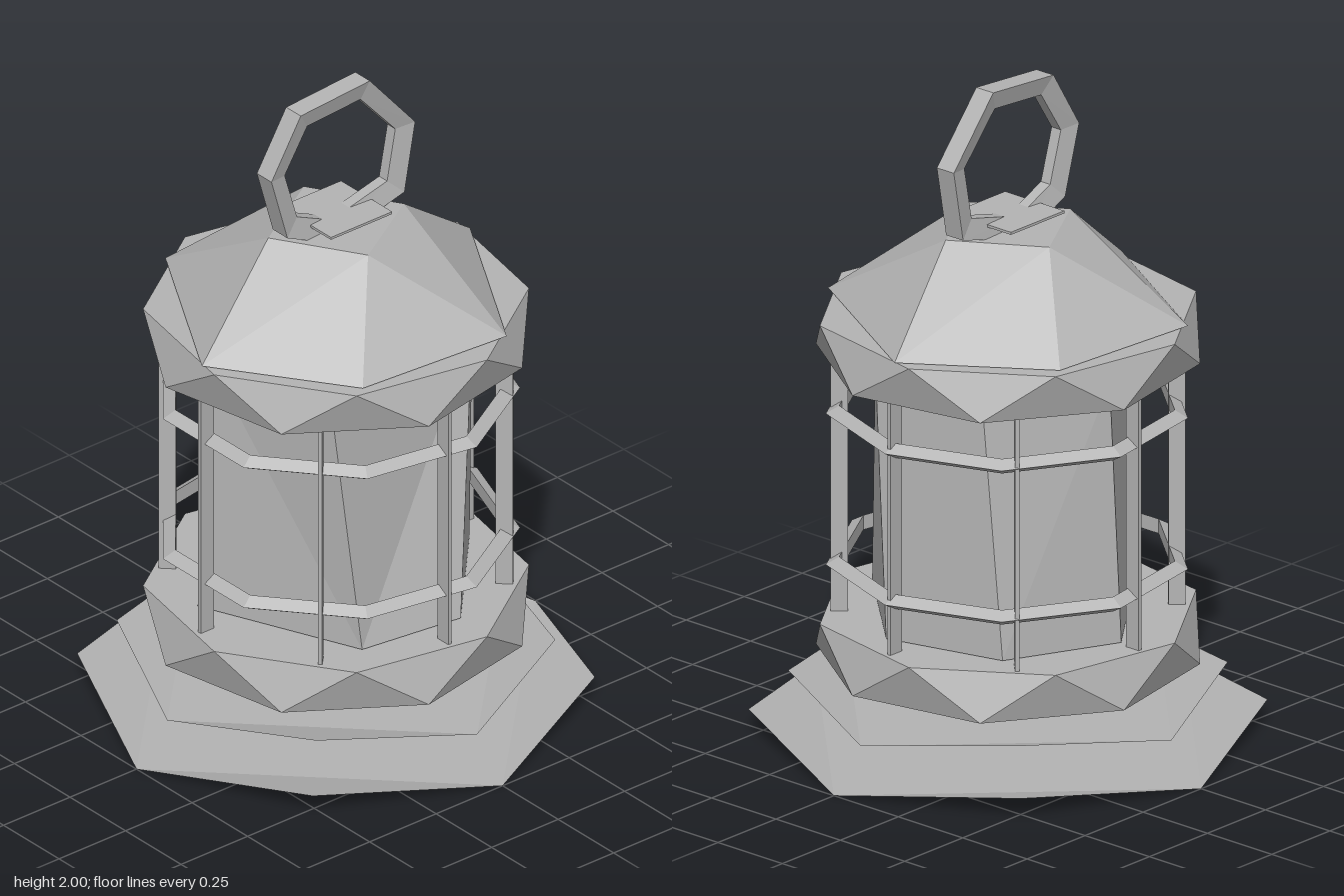
import * as THREE from 'three';

const metal = new THREE.MeshStandardMaterial({ color: 0xb4b4b4, flatShading: true, side: THREE.DoubleSide });
metal.name = 'grey metal';

// Turns a list of corner points (three per face) into a faceted mesh
function facets(name, corners) {
  const geometry = new THREE.BufferGeometry().setFromPoints(corners);
  geometry.computeVertexNormals();
  const mesh = new THREE.Mesh(geometry, metal);
  mesh.name = name;
  return mesh;
}

// Point at a compass angle: 0 is the front, 90 is the model's left
function polar(degrees, radius, y) {
  const a = THREE.MathUtils.degToRad(degrees);
  return new THREE.Vector3(Math.sin(a) * radius, y, Math.cos(a) * radius);
}

// Joins two capped loops; the pattern says which loop (L lower, U upper) steps on next
function stitch(name, lower, upper, pattern) {
  const corners = [];
  const at = (loop, i) => loop[i % loop.length];
  let l = 0, u = 0;
  for (const step of pattern) {
    if (step === 'L') corners.push(at(lower, l), at(lower, ++l), at(upper, u));
    else corners.push(at(lower, l), at(upper, u + 1), at(upper, u++));
  }
  for (let i = 1; i < lower.length - 1; i++) corners.push(lower[0], lower[i + 1], lower[i]);
  for (let i = 1; i < upper.length - 1; i++) corners.push(upper[0], upper[i], upper[i + 1]);
  return facets(name, corners);
}

// Octagonal sheet with its four diagonal corners folded up
function basePlate(name, radius, y, lift) {
  const axis = [0, 90, 180, 270].map(a => polar(a, radius, y));
  const corners = [axis[0], axis[1], axis[2], axis[0], axis[2], axis[3]];
  for (let i = 0; i < 4; i++) {
    corners.push(axis[i], polar(45 + 90 * i, radius, y + lift), axis[(i + 1) % 4]);
  }
  return facets(name, corners);
}

// Twisted eight-sided rim with zigzag facets
function rim(name, bottom, top) {
  const loop = (twist, y) => Array.from({ length: 8 }, (_, i) => polar(twist + 45 * i, 0.56, y));
  return stitch(name, loop(-11.25, bottom), loop(11.25, top), 'LU'.repeat(8));
}

// Carrying ring with a section that narrows towards the opening
function carryRing() {
  const path = [[0.27, 1.8], [0.1, 2], [-0.16, 1.98], [-0.27, 1.8], [-0.21, 1.59], [-0.04, 1.51], [0.23, 1.58]];
  const sections = path.map(([x, y]) => {
    const ix = x * 0.77, iy = 1.77 + (y - 1.77) * 0.74;
    return [
      new THREE.Vector3(x, y, 0.033), new THREE.Vector3(x, y, -0.033),
      new THREE.Vector3(ix, iy, -0.018), new THREE.Vector3(ix, iy, 0.018),
    ];
  });
  const corners = [];
  sections.forEach((s, i) => {
    const n = sections[(i + 1) % sections.length];
    for (let j = 0; j < 4; j++) {
      const k = (j + 1) % 4;
      corners.push(s[j], s[k], n[j], s[k], n[k], n[j]);
    }
  });
  return facets('carryRing', corners);
}

export function createModel() {
  const lantern = new THREE.Group();
  lantern.name = 'lantern';

  // Stepped foot
  lantern.add(basePlate('lowerBasePlate', 0.75, 0.003, 0.066));
  lantern.add(basePlate('upperBasePlate', 0.635, 0.123, 0.064));

  // Rims below and above the glass
  lantern.add(rim('lowerRim', 0.225, 0.37));
  lantern.add(rim('upperRim', 1.155, 1.295));

  // Tapered glass chimney
  const glassFoot = [-30, 15, 79, 130, 180, 255].map(a => polar(a, 0.44, 0.375));
  const glassTop = [-42, 56, 121, 180, 255].map(a => polar(a, 0.395, 1.17));
  lantern.add(stitch('glass', glassFoot, glassTop, 'ULLULULULLU'));

  // Faceted roof
  const eaves = [[0.235, 0.487], [0.55, -0.055], [0.275, -0.45], [-0.235, -0.487], [-0.55, 0.055], [-0.275, 0.45]]
    .map(([x, z]) => new THREE.Vector3(x, 1.3, z));
  const crown = [[0.213, 0.05], [0.055, -0.21], [-0.213, -0.05], [-0.055, 0.21]]
    .map(([x, z]) => new THREE.Vector3(x, 1.555, z));
  lantern.add(stitch('roof', eaves, crown, 'LULLULULLU'));

  // Cage: upright bars set edge-on
  const bars = new THREE.Group();
  bars.name = 'cageBars';
  for (let i = 0; i < 8; i++) {
    const bar = new THREE.Mesh(new THREE.BoxGeometry(0.012, 0.82, 0.05), metal);
    bar.name = 'cageBar';
    bar.position.copy(polar(45 * i, 0.488, 0.765));
    bar.rotation.y = i * Math.PI / 4;
    bars.add(bar);
  }
  lantern.add(bars);

  // Cage: two hoops
  for (const [name, y] of [['lowerHoop', 0.53], ['upperHoop', 0.998]]) {
    const hoop = new THREE.Mesh(new THREE.TorusGeometry(0.505, 0.026, 3, 9), metal);
    hoop.name = name;
    hoop.rotation.x = Math.PI / 2;
    hoop.position.y = y;
    lantern.add(hoop);
  }

  // Square washer and carrying ring
  const washer = new THREE.Mesh(new THREE.BoxGeometry(0.23, 0.008, 0.23), metal);
  washer.name = 'washer';
  washer.position.y = 1.59;
  lantern.add(washer, carryRing());

  return lantern;
}
